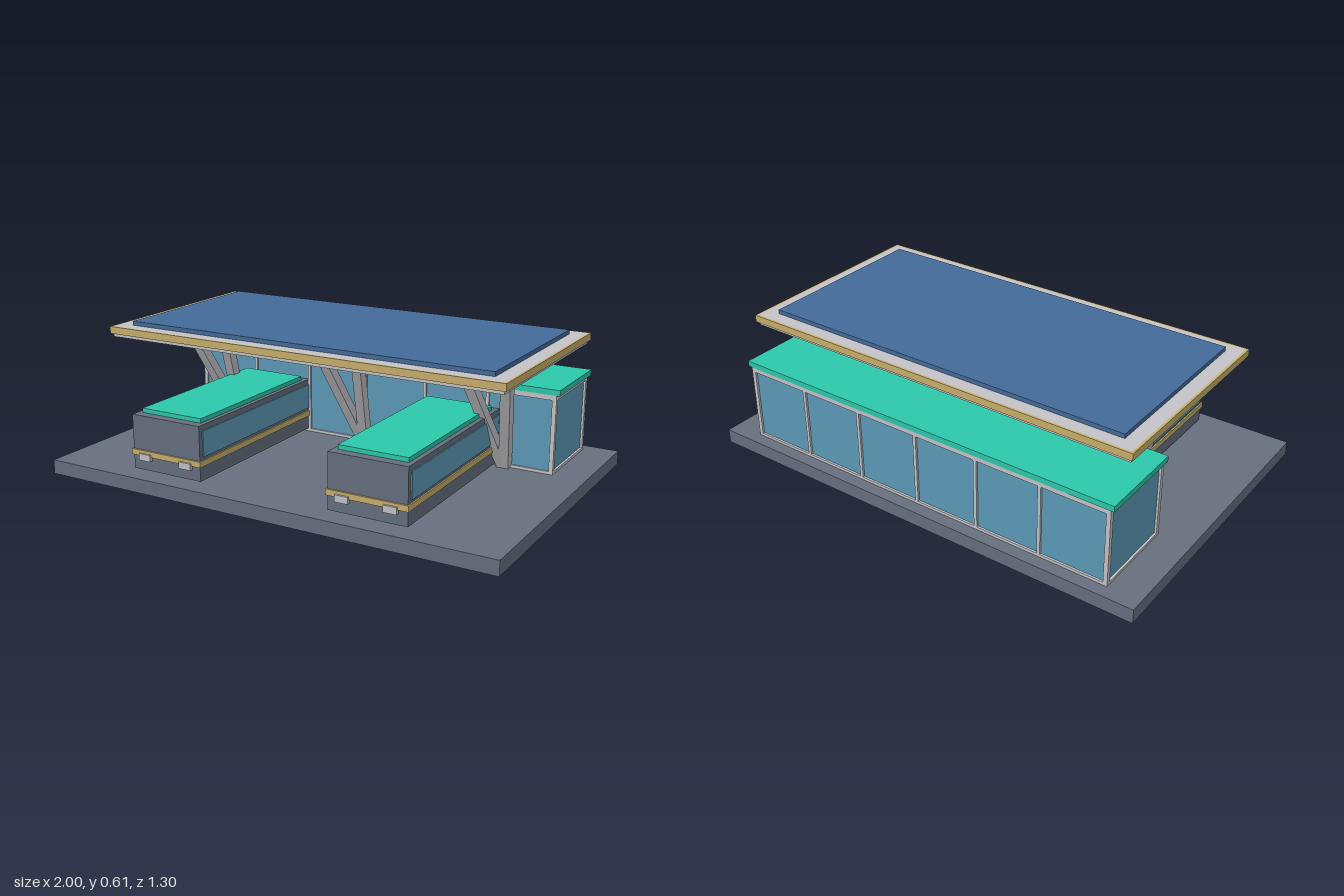
import * as THREE from 'three';

const mat = (name, color) => Object.assign(new THREE.MeshStandardMaterial({ color }), { name });

export function createModel() {
  const slate = mat('slate', 0x67707f);
  const silver = mat('silver', 0xc4c4c9);
  const gold = mat('gold', 0xc8b06c);
  const teal = mat('teal', 0x2dc9ab);
  const glass = mat('glass', 0x5d9bb8);
  const solar = mat('solar blue', 0x446b9a);

  const model = new THREE.Group();
  model.name = 'busStation';

  // Box given by its minimum and maximum on each axis
  const box = (parent, name, m, [x0, x1], [y0, y1], [z0, z1]) => {
    const mesh = new THREE.Mesh(new THREE.BoxGeometry(x1 - x0, y1 - y0, z1 - z0), m);
    mesh.position.set((x0 + x1) / 2, (y0 + y1) / 2, (z0 + z1) / 2);
    mesh.name = name;
    parent.add(mesh);
    return mesh;
  };
  const group = (name) => {
    const g = new THREE.Group();
    g.name = name;
    model.add(g);
    return g;
  };

  box(model, 'base', slate, [-1, 1], [0, 0.06], [-0.65, 0.65]);

  // Canopy: slab, surrounding fascia and solar panel
  const canopy = group('canopy');
  box(canopy, 'canopySlab', silver, [-0.88, 0.88], [0.546, 0.59], [-0.511, 0.371]);
  for (const s of [-1, 1]) {
    box(canopy, 'fasciaSide', gold, s < 0 ? [-0.89, -0.88] : [0.88, 0.89], [0.56, 0.59], [-0.521, 0.381]);
    box(canopy, 'fasciaEnd', gold, [-0.88, 0.88], [0.56, 0.59], s < 0 ? [-0.521, -0.511] : [0.371, 0.381]);
  }
  box(canopy, 'solarPanel', solar, [-0.82, 0.82], [0.59, 0.608], [-0.455, 0.315]);

  // Leaning pairs of beams that carry the canopy
  const up = new THREE.Vector3(0, 1, 0);
  for (const x of [-0.655, 0, 0.655]) {
    const column = group('column');
    for (const s of [-1, 1]) {
      const foot = new THREE.Vector3(x, 0.045, -0.232);
      const head = new THREE.Vector3(x + s * 0.1, 0.565, 0.037);
      const dir = head.clone().sub(foot);
      const beam = new THREE.Mesh(new THREE.BoxGeometry(0.042, dir.length(), 0.042), silver);
      beam.position.copy(foot).add(head).multiplyScalar(0.5);
      beam.quaternion.setFromUnitVectors(up, dir.normalize());
      beam.name = 'columnBeam';
      column.add(beam);
    }
  }

  // Waiting hall: glass box in a frame under a flat roof
  const hall = group('hall');
  box(hall, 'hallGlass', glass, [-0.853, 0.853], [0.065, 0.375], [-0.588, -0.231]);
  box(hall, 'hallSill', silver, [-0.862, 0.862], [0.06, 0.072], [-0.597, -0.223]);
  box(hall, 'hallHead', silver, [-0.862, 0.862], [0.37, 0.391], [-0.597, -0.223]);
  for (let i = 0; i <= 6; i++) {
    const x = -0.853 + i * (1.706 / 6);
    const w = i % 6 ? 0.007 : 0.009;
    for (const z of [-0.588, -0.232])
      box(hall, 'hallPost', silver, [x - w, x + w], [0.06, 0.391], [z - 0.009, z + 0.009]);
  }
  box(hall, 'hallRoof', teal, [-0.876, 0.876], [0.391, 0.415], [-0.6, -0.222]);

  // Two parked buses
  for (const x of [-0.455, 0.455]) {
    const bus = group('bus');
    bus.position.x = x;
    box(bus, 'busBody', slate, [-0.165, 0.165], [0.073, 0.3], [-0.24, 0.58]);
    box(bus, 'busRoof', teal, [-0.145, 0.145], [0.3, 0.318], [-0.197, 0.54]);
    box(bus, 'busStripe', gold, [-0.171, 0.171], [0.133, 0.157], [-0.248, 0.588]);
    for (const s of [-1, 1]) {
      box(bus, 'busWindow', glass, [s * 0.167 - 0.003, s * 0.167 + 0.003], [0.17, 0.277], [-0.222, 0.56]);
      box(bus, 'headlight', silver, [s * 0.1 - 0.028, s * 0.1 + 0.028], [0.117, 0.145], [0.575, 0.597]);
    }
  }
  return model;
}
